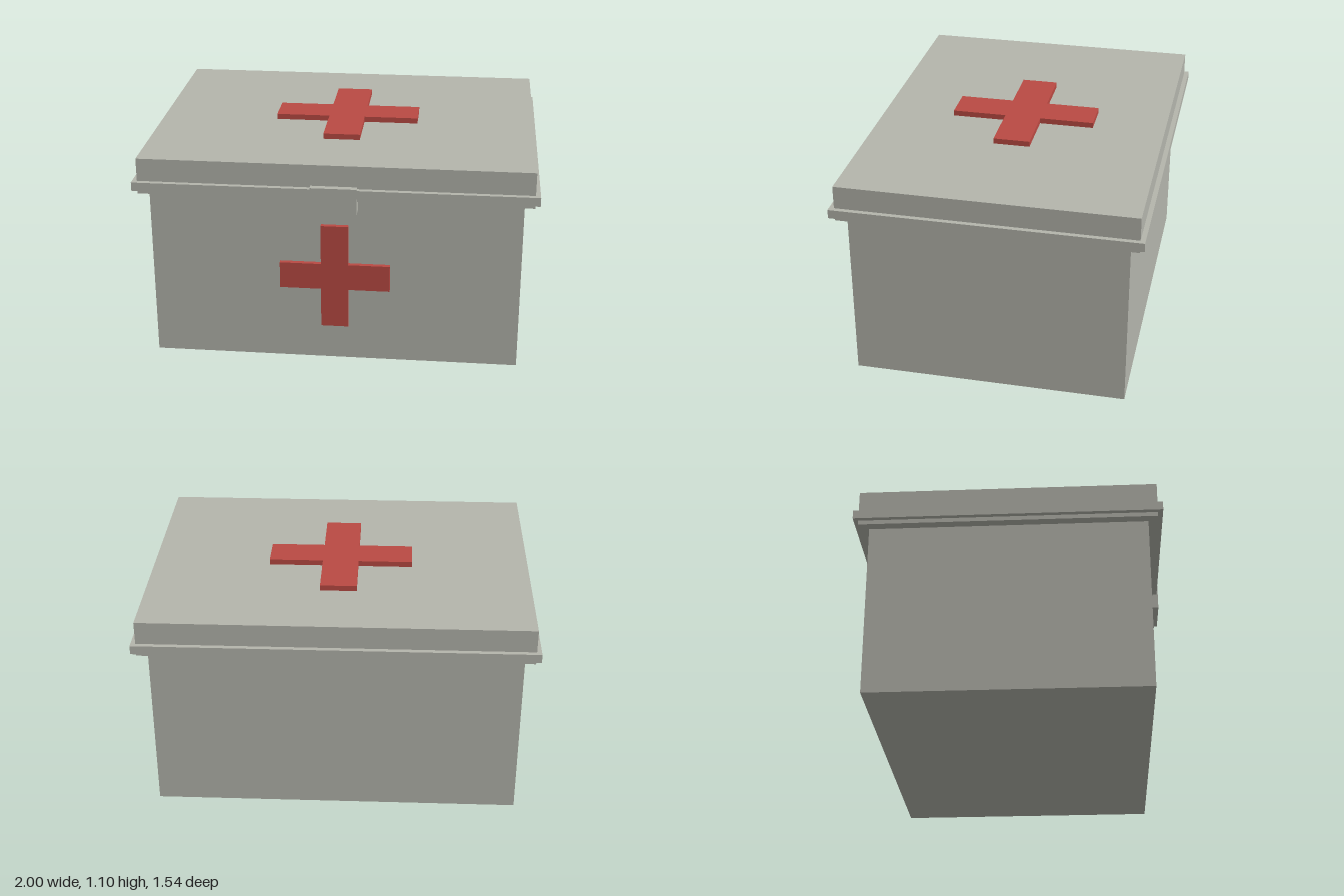
import * as THREE from 'three';

export function createModel() {
  const model = new THREE.Group();
  model.name = 'firstAidBox';
  const grey = new THREE.MeshStandardMaterial({ name: 'warm grey', color: 0xb4b5ac });
  const red = new THREE.MeshStandardMaterial({ name: 'muted red', color: 0xba4a43 });

  // Box spanning the given ranges on each axis
  function box(name, [x0, x1], [y0, y1], [z0, z1]) {
    const mesh = new THREE.Mesh(new THREE.BoxGeometry(x1 - x0, y1 - y0, z1 - z0), grey);
    mesh.name = name;
    mesh.position.set((x0 + x1) / 2, (y0 + y1) / 2, (z0 + z1) / 2);
    model.add(mesh);
  }

  // Raised plus shape: arm half-length a, half-width w, facing +z
  function cross(name, a, w, depth) {
    const points = [
      [w, -a], [w, -w], [a, -w], [a, w], [w, w], [w, a],
      [-w, a], [-w, w], [-a, w], [-a, -w], [-w, -w], [-w, -a],
    ].map(([x, y]) => new THREE.Vector2(x, y));
    const geometry = new THREE.ExtrudeGeometry(new THREE.Shape(points), { depth, bevelEnabled: false });
    const mesh = new THREE.Mesh(geometry, red);
    mesh.name = name;
    model.add(mesh);
    return mesh;
  }

  // Case, lid, overhanging rim and front latch
  box('body', [-0.928, 0.928], [0, 0.9], [-0.698, 0.692]);
  box('lid', [-0.976, 0.976], [0.892, 1.076], [-0.746, 0.738]);
  box('rim', [-1, 1], [0.914, 0.959], [-0.77, 0.763]);
  box('latch', [-0.115, 0.115], [0.832, 0.968], [0.68, 0.77]);

  // Emblems on the front and the lid
  cross('frontCross', 0.277, 0.069, 0.034).position.set(0, 0.468, 0.682);
  const top = cross('lidCross', 0.371, 0.093, 0.035);
  top.rotation.x = -Math.PI / 2;
  top.position.set(0, 1.069, -0.004);

  return model;
}
